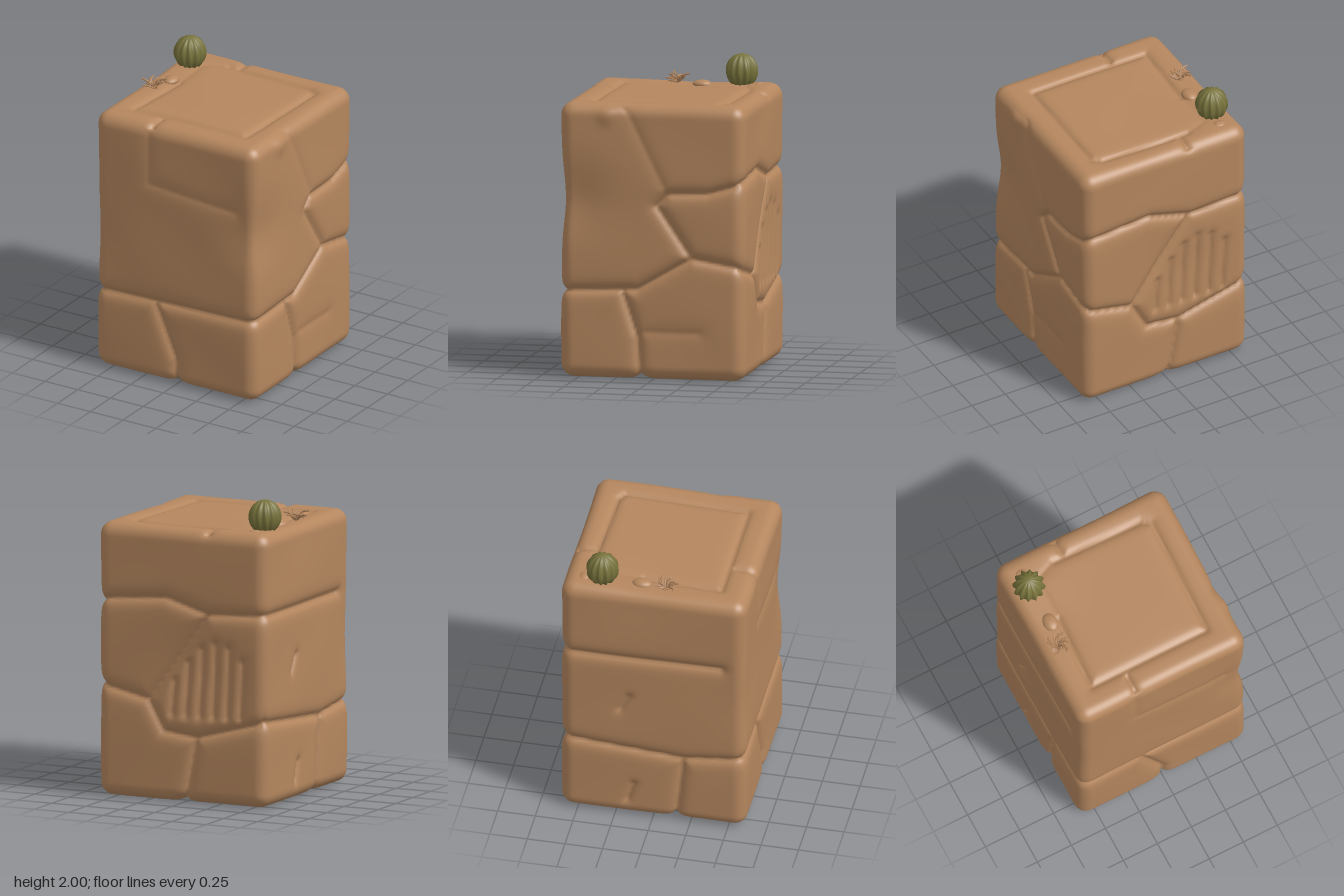
import * as THREE from 'three';
import { mergeVertices } from 'three/addons/utils/BufferGeometryUtils.js';

const H = 0.615, TOP = 1.805, R = 0.085;

// Face coordinates to points on the block
const front = (u, v) => [u, v, H];
const back = (u, v) => [u, v, -H];
const right = (u, v) => [H, v, u];
const left = (u, v) => [-H, v, u];
const top = (u, v) => [u, TOP, v];
const base = (u, v) => [u, 0, v];

// Joints between the stones, as paths on a face
const joints = [
  [front, -H, 0.545, H, 0.57],
  [front, -0.16, 0.55, 0, 0.17, 0, 0],
  [right, H, 0.57, 0.1, 0.59, -0.26, 0.8, -H, 0.74],
  [right, -0.1, 1.22, -0.37, 1.23, -H, 1.3],
  [right, -0.1, 1.22, -0.03, 1.14, -0.26, 0.8],
  [right, 0.2, 0.58, 0.1, 0.28, 0.08, 0],
  [back, H, 1.3, 0.12, 1.34, -0.18, 1.25, -H, 1.27],
  [back, H, 0.74, 0.25, 0.66, 0.14, 0.46, -0.1, 0.43, -H, 0.57],
  [back, 0.25, 0.66, -0.18, 1.25],
  [back, -0.1, 0.43, -0.02, 0],
  [left, -H, 1.27, 0.45, 1.27],
  [left, -H, 0.57, 0.2, 0.5, H, 0.55],
  [left, 0.2, 0.5, 0.15, 0],
  [base, 0, H, 0, -H],
  [base, H, 0.08, -H, 0.15],
];

// Top panel outline and rim cracks
const topLines = [
  [top, -0.4, -0.1, -0.43, 0.42, 0.42, 0.42, 0.445, -0.4, 0.385, -0.44, -0.25, -0.46],
  [top, -0.19, 0.46, -0.19, H],
  [top, -0.17, -0.47, -0.18, -H],
];

// Shallow wide creases
const creases = [
  [front, -0.2, 1.75, -0.2, 1.39, 0.45, 1.33],
  [right, 0.19, TOP, -0.1, 1.22],
  [right, 0.11, 0.31, -0.31, 0.31],
  [top, -0.25, -0.46, -0.4, -0.4, -0.4, -0.1],
];

// Soft dents and bumps: x, y, z, radius, depth
const softSpots = [
  [H, 1.15, 0.55, 0.22, 0.035], [-H, 1, H, 0.25, 0.014], [H, 1.73, 0.3, 0.06, -0.014],
  [-0.15, 0.85, -H, 0.25, 0.018], [-0.5, TOP, -0.1, 0.25, 0.01],
];

// Split paths into straight cuts of one depth and width
function cutsAlong(paths, depth, width) {
  const list = [];
  for (const [face, ...uv] of paths) {
    const at = (i) => new THREE.Vector3(...face(uv[i], uv[i + 1]));
    for (let i = 2; i < uv.length; i += 2) list.push({ depth, width, line: new THREE.Line3(at(i - 2), at(i)) });
  }
  return list;
}

// Plain chisel scratches on the back, and two chips on the left
function scratches() {
  const list = [[left, -0.22, 0.85, -0.16, 0.96], [left, -0.17, 0.12, -0.13, 0.25]];
  for (let i = 0; i < 6; i++) {
    const u = 0.08 - 0.1 * i;
    list.push([back, u, 0.58, u - 0.02, 0.8 + 0.26 * Math.sin(i * 0.5)]);
  }
  return list;
}

// Rounded block with joints pressed into its surface
function stoneGeometry() {
  let geo = new THREE.BoxGeometry(2 * H, TOP, 2 * H, 84, 120, 84).translate(0, TOP / 2, 0);
  geo.deleteAttribute('normal');
  geo.deleteAttribute('uv');
  geo = mergeVertices(geo, 1e-4);
  const cuts = [
    ...cutsAlong(joints, 0.042, 0.026), ...cutsAlong(topLines, 0.032, 0.02),
    ...cutsAlong(creases, 0.013, 0.035), ...cutsAlong(scratches(), 0.03, 0.019),
  ];
  const pos = geo.attributes.position;
  const p = new THREE.Vector3(), inner = new THREE.Vector3(), n = new THREE.Vector3(), c = new THREE.Vector3();
  const lo = new THREE.Vector3(-H + R, R, -H + R), hi = new THREE.Vector3(H - R, TOP - R, H - R);
  for (let i = 0; i < pos.count; i++) {
    p.fromBufferAttribute(pos, i);
    inner.copy(p).clamp(lo, hi);
    n.subVectors(p, inner).normalize();
    let inset = 0;
    for (const { line, depth, width } of cuts) {
      const d = line.closestPointToPoint(p, true, c).distanceTo(p);
      inset = Math.max(inset, depth * Math.exp(-d / width));
    }
    for (const [x, y, z, radius, depth] of softSpots) {
      inset += depth * Math.exp(-((c.set(x, y, z).distanceTo(p) / radius) ** 2));
    }
    // Gentle unevenness of the stone
    inset += 0.004 * Math.sin(p.x * 6 + p.y * 4) * Math.sin(p.z * 5 - p.y * 5);
    p.copy(inner).addScaledVector(n, R - inset);
    pos.setXYZ(i, p.x, p.y, p.z);
  }
  geo.computeVertexNormals();
  return geo;
}

// Ball with sharp vertical ribs
function cactusGeometry() {
  let geo = new THREE.SphereGeometry(1, 48, 20);
  geo.deleteAttribute('normal');
  geo.deleteAttribute('uv');
  geo = mergeVertices(geo, 1e-4);
  const pos = geo.attributes.position;
  for (let i = 0; i < pos.count; i++) {
    const x = pos.getX(i), z = pos.getZ(i);
    const k = 1 - 0.2 * Math.abs(Math.sin(6 * Math.atan2(z, x)));
    pos.setXYZ(i, x * k, pos.getY(i), z * k);
  }
  geo.scale(0.108, 0.113, 0.108);
  geo.computeVertexNormals();
  return geo;
}

export function createModel() {
  const model = new THREE.Group();
  const stone = new THREE.MeshStandardMaterial({ color: 0xb4865e });
  stone.name = 'sandstone';
  const green = new THREE.MeshStandardMaterial({ color: 0x78733c });
  green.name = 'oliveGreen';

  const add = (name, geo, mat, parent = model) => {
    const mesh = new THREE.Mesh(geo, mat);
    mesh.name = name;
    parent.add(mesh);
    return mesh;
  };

  add('stoneBlock', stoneGeometry(), stone);
  add('cactus', cactusGeometry(), green).position.set(-0.48, 1.887, -0.36);

  // Pebbles on the rim
  for (const [x, z, sx, sy, sz] of [[-0.46, -0.1, 0.048, 0.03, 0.065], [-0.47, -0.48, 0.05, 0.025, 0.04]]) {
    const pebble = add('pebble', new THREE.SphereGeometry(1, 20, 14), stone);
    pebble.scale.set(sx, sy, sz);
    pebble.position.set(x, 1.792, z);
  }

  // Tuft of dry twigs
  const tuft = new THREE.Group();
  tuft.name = 'dryTwigs';
  tuft.position.set(-0.49, 1.79, 0.07);
  model.add(tuft);
  let seed = 7;
  const rnd = () => (seed = (seed * 16807) % 2147483647) / 2147483647;
  for (let i = 0; i < 18; i++) {
    const a = i * 2.4, r = 0.04 + 0.045 * rnd(), h = 0.02 + 0.055 * rnd();
    const curve = new THREE.CatmullRomCurve3([
      new THREE.Vector3(0, 0, 0),
      new THREE.Vector3(Math.cos(a) * r * 0.5, h * 0.8, Math.sin(a) * r * 0.5),
      new THREE.Vector3(Math.cos(a + 0.5) * r, h, Math.sin(a + 0.5) * r),
    ]);
    add('twig', new THREE.TubeGeometry(curve, 6, 0.006, 5), stone, tuft);
  }
  return model;
}
